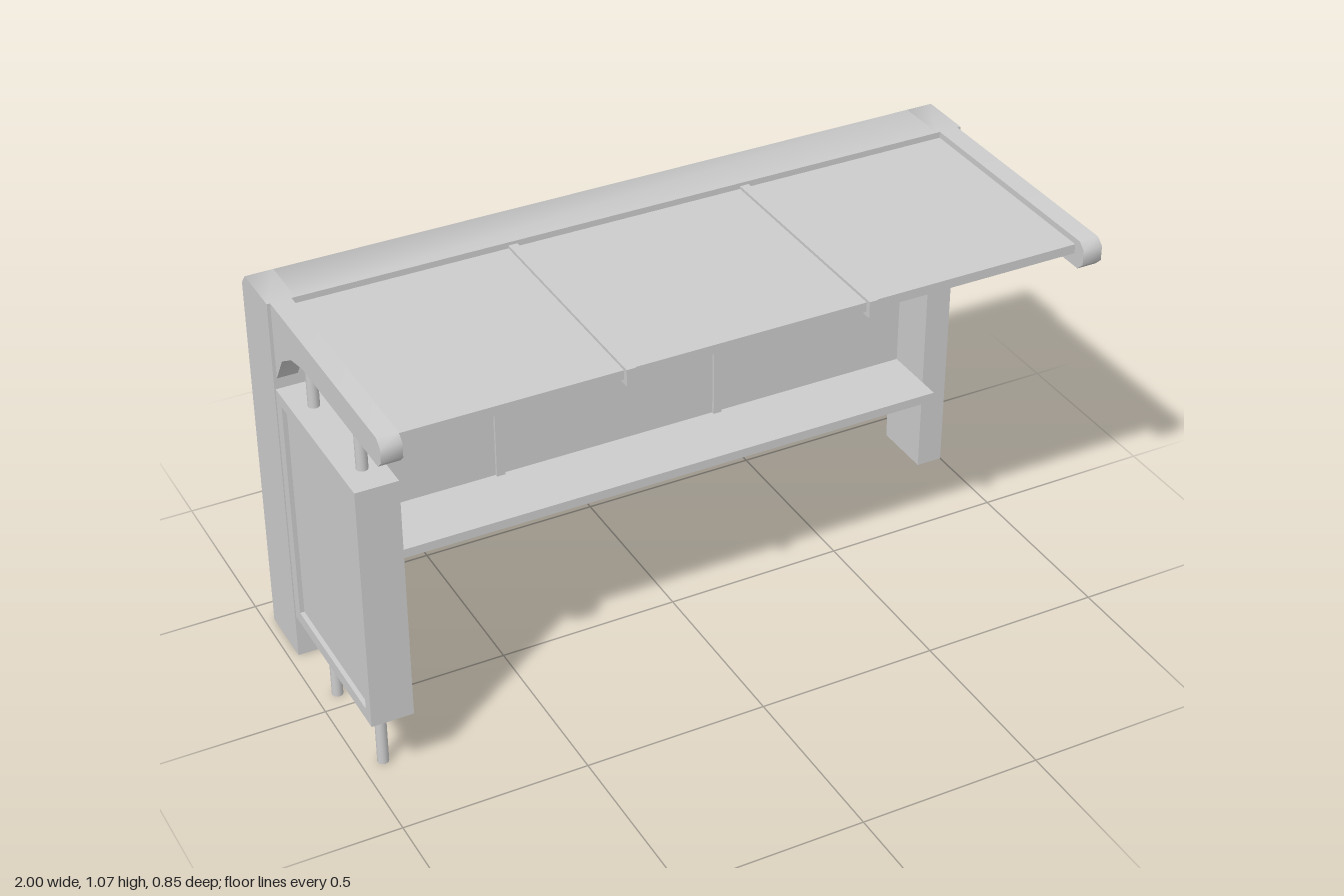
import * as THREE from 'three';
import { toCreasedNormals } from 'three/addons/utils/BufferGeometryUtils.js';

const grey = new THREE.MeshStandardMaterial({ color: 0xcccccc });
const greyDouble = new THREE.MeshStandardMaterial({ color: 0xcccccc, side: THREE.DoubleSide });

const toShape = (pts) => new THREE.Shape(pts.map(([z, y]) => new THREE.Vector2(z, y)));

// Extrude a side profile of (z, y) points from x0 to x1
function sideExtrude(shape, x0, x1) {
  const geo = new THREE.ExtrudeGeometry(shape, { depth: x1 - x0, bevelEnabled: false });
  geo.rotateY(-Math.PI / 2).translate(x1, 0, 0);
  return toCreasedNormals(geo, 0.95);
}

// Box given by its limits on each axis
function box(x0, x1, y0, y1, z0, z1) {
  return new THREE.BoxGeometry(x1 - x0, y1 - y0, z1 - z0)
    .translate((x0 + x1) / 2, (y0 + y1) / 2, (z0 + z1) / 2);
}

// Drop the triangles lying on the ground, leaving a hollow foot
function openBottom(geo) {
  const p = geo.attributes.position, kept = [];
  for (let i = 0; i < p.count; i += 3) {
    if (Math.max(p.getY(i), p.getY(i + 1), p.getY(i + 2)) > 0.001) kept.push(i, i + 1, i + 2);
  }
  geo.setIndex(kept);
  return geo;
}

export function createModel() {
  const group = new THREE.Group();
  const add = (name, geo, mat = grey) => {
    const mesh = new THREE.Mesh(geo, mat);
    mesh.name = name;
    group.add(mesh);
  };

  const top = 1.073, back = -0.425, front = -0.25;
  const innerR = -0.9, innerL = 0.925;

  // Posts and the beam joining them share a chamfered top back edge
  const frameProfile = (y0) => toShape([
    [back, y0], [front, y0], [front, top], [-0.4, top], [back, 1.043],
  ]);
  add('rightPost', openBottom(sideExtrude(frameProfile(0), -0.975, innerR)), greyDouble);
  add('leftPost', openBottom(sideExtrude(frameProfile(0), innerL, 1)), greyDouble);
  add('backBeam', sideExtrude(frameProfile(1.003), innerR, innerL));

  // Roof arms with a curved brace and a blunt rounded tip
  const armProfile = toShape([
    [front, top], [front, 0.858], [-0.2, 0.935], [-0.132, 0.977], [-0.053, 0.995],
    [0.408, 0.995], [0.428, 1.015], [0.428, 1.055], [0.408, top],
  ]);
  add('rightArm', sideExtrude(armProfile, -0.966, -0.911));
  add('leftArm', sideExtrude(armProfile, 0.935, 0.99));

  // Roof panel, back panel and bench
  add('roofPanel', box(-0.911, 0.935, 1.03, 1.056, front, 0.39));
  add('backPanel', box(innerR, innerL, 0.28, 1.003, -0.403, -0.39));
  add('bench', box(innerR, innerL, 0.255, 0.282, -0.418, -0.19));

  // Roof ribs and back panel mullions
  for (const x of [-0.32, 0.34]) {
    add('roofRib', box(x - 0.0125, x + 0.0125, 1.018, 1.064, front, 0.404));
    add('mullion', box(x - 0.0125, x + 0.0125, 0.28, 1.003, -0.412, -0.381));
  }

  // Display case: rim with a recessed face on both sides
  const rim = toShape([[-0.165, 0.193], [0.333, 0.193], [0.333, 0.885], [-0.165, 0.885]]);
  rim.holes.push(toShape([[-0.132, 0.227], [-0.132, 0.853], [0.301, 0.853], [0.301, 0.227]]));
  add('displayRim', sideExtrude(rim, -1, -0.888));
  add('displayFaces', box(-0.988, -0.9, 0.227, 0.853, -0.132, 0.301));

  // Poles carrying the display case
  for (const z of [0.245, -0.056]) {
    for (const [y0, y1] of [[0, 0.193], [0.885, 1]]) {
      add('displayPole', new THREE.CylinderGeometry(0.015, 0.015, y1 - y0, 16)
        .translate(-0.944, (y0 + y1) / 2, z));
    }
  }
  return group;
}
